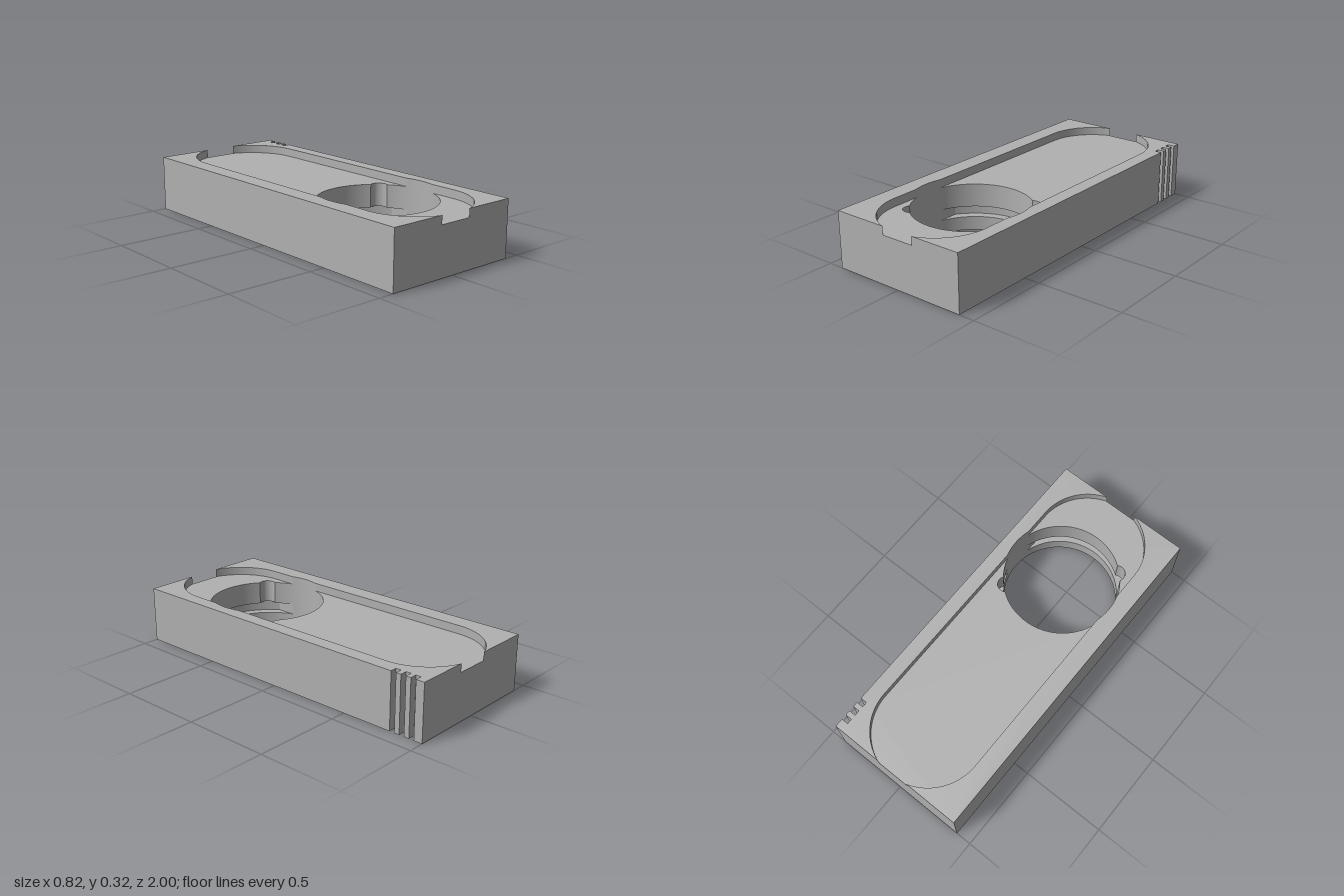
import * as THREE from 'three';
import { toCreasedNormals } from 'three/addons/utils/BufferGeometryUtils.js';

const W = 0.41, L = 1;                              // half width, half length
const CX = 0.0115;                                  // pocket and hole centre line
const POCKET_R = 0.3165, POCKET_Z = 0.699;          // rounded pocket ends
const HOLE_Z = 0.447, HOLE_R = 0.33, GROOVE_R = 0.38;
const Y = { groove: 0.08, lip: 0.143, floor: 0.277, top: 0.325 };

// Plan shapes use (x, z); negating z lets the extrusion rise along +y
const plan = (x, z) => new THREE.Vector2(x, -z);

// Grip slots along the +x edge, running from the front to the back corner
function slottedEdge() {
  const pts = [plan(W, L)];
  for (const z of [-0.80, -0.86, -0.92]) {
    pts.push(plan(W, z), plan(0.37, z), plan(0.37, z - 0.03), plan(W, z - 0.03));
  }
  pts.push(plan(W, -L));
  return pts;
}

// Hole outline from a radius that depends on the angle
function holePath(radiusAt) {
  const pts = [], n = 720;
  for (let i = 0; i < n; i++) {
    const a = (i / n) * Math.PI * 2, r = radiusAt(a);
    pts.push(plan(CX + r * Math.cos(a), HOLE_Z + r * Math.sin(a)));
  }
  return new THREE.Path(pts);
}

const plainHole = () => HOLE_R;

// Wider groove, cut off flat at the two sides
const groovedHole = a =>
  Math.max(HOLE_R, Math.min(GROOVE_R, POCKET_R / Math.max(Math.abs(Math.cos(a)), 1e-6)));

// Two small round entry notches on opposite sides
function notchedHole(a) {
  const d = 0.317, r = 0.047;
  let out = HOLE_R;
  for (const c of [-Math.PI / 4, Math.PI * 3 / 4]) {
    const s = d * Math.sin(a - c);
    if (Math.cos(a - c) > 0 && Math.abs(s) < r) {
      out = Math.max(out, d * Math.cos(a - c) + Math.sqrt(r * r - s * s));
    }
  }
  return out;
}

// Half width of the opening between the rims at a given z
function openingAt(z) {
  const e = Math.max(0, Math.abs(z) - POCKET_Z), h = z - HOLE_Z;
  const pocket = Math.sqrt(POCKET_R ** 2 - e * e);
  const hole = Math.sqrt(Math.max(0, HOLE_R ** 2 - h * h));
  return Math.max(pocket, hole);
}

function rimShape(side) {
  const pts = side > 0 ? slottedEdge() : [plan(-W, L), plan(-W, -L)];
  const n = 400;
  for (let i = 0; i <= n; i++) {
    const z = -L + (2 * L * i) / n;
    pts.push(plan(CX + side * openingAt(z), z));
  }
  return new THREE.Shape(pts);
}

export function createModel() {
  const group = new THREE.Group();
  const grey = new THREE.MeshStandardMaterial({ color: 0xb0b0b0 });
  grey.name = 'plain grey';

  function addLayer(name, shape, y0, y1) {
    const geo = new THREE.ExtrudeGeometry(shape, { depth: y1 - y0, bevelEnabled: false });
    geo.rotateX(-Math.PI / 2);
    geo.translate(0, y0, 0);
    const mesh = new THREE.Mesh(toCreasedNormals(geo, 0.4), [grey, grey]);
    mesh.material = grey;
    mesh.name = name;
    group.add(mesh);
  }

  // Body layers, each with its own hole outline
  const body = [
    ['baseLayer', plainHole, 0, Y.groove],
    ['grooveLayer', groovedHole, Y.groove, Y.lip],
    ['pocketFloorLayer', notchedHole, Y.lip, Y.floor],
  ];
  for (const [name, radiusAt, y0, y1] of body) {
    const shape = new THREE.Shape([...slottedEdge(), plan(-W, -L), plan(-W, L)]);
    shape.holes.push(holePath(radiusAt));
    addLayer(name, shape, y0, y1);
  }

  // Raised rims on both sides of the pocket
  addLayer('leftRim', rimShape(1), Y.floor, Y.top);
  addLayer('rightRim', rimShape(-1), Y.floor, Y.top);
  return group;
}
